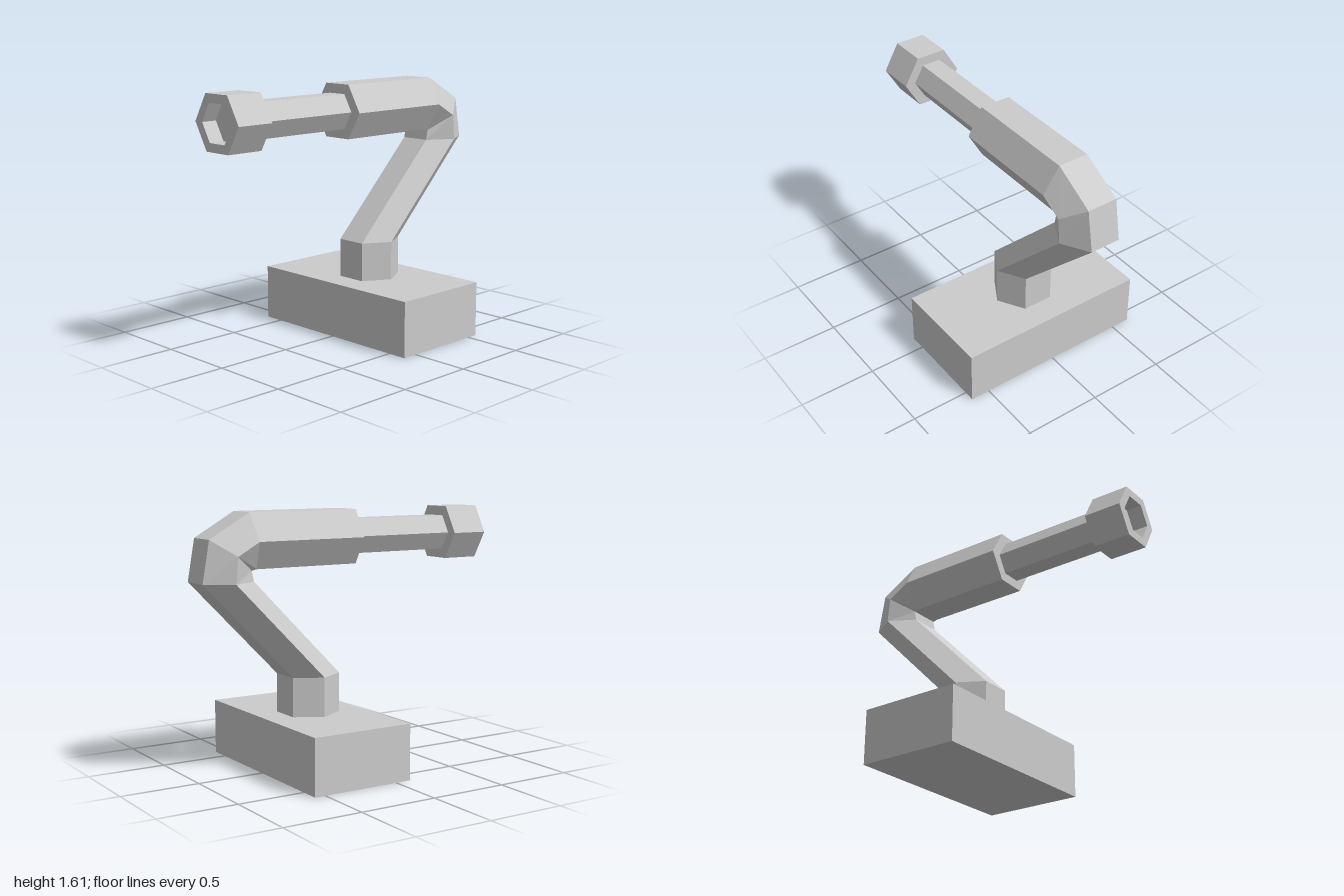
import * as THREE from 'three';

const material = new THREE.MeshStandardMaterial({ color: 0xcccccc, flatShading: true });

// Hexagonal ring mirrored in x, from its outer, middle and inner [z, y] points
function ring(outer, mid, inner, w = 0.195) {
  const at = (x, [z, y]) => [x, y, z];
  return [at(w / 2, outer), at(w, mid), at(w / 2, inner),
    at(-w / 2, inner), at(-w, mid), at(-w / 2, outer)];
}

// Level ring round the upright part, and upright ring round the forward axis
const levelRing = (y, z, h = 0.168) => ring([z - h, y], [z, y], [z + h, y]);
const axisRing = (z, h, w) => ring([z, 1.44 + h], [z, 1.44], [z, 1.44 - h], w);

// Skin over successive rings, optionally closing the last one
function loft(name, rings, capEnd = false) {
  const pos = [];
  const tri = (...p) => p.forEach(v => pos.push(...v));
  for (let i = 0; i < rings.length - 1; i++) {
    for (let j = 0; j < 6; j++) {
      const k = (j + 1) % 6;
      const a = rings[i][j], b = rings[i][k], c = rings[i + 1][k], d = rings[i + 1][j];
      tri(b, a, d);
      tri(b, d, c);
    }
  }
  if (capEnd) {
    const last = rings[rings.length - 1];
    for (let j = 1; j < 5; j++) tri(last[0], last[j + 1], last[j]);
  }
  const geo = new THREE.BufferGeometry();
  geo.setAttribute('position', new THREE.Float32BufferAttribute(pos, 3));
  geo.computeVertexNormals();
  const mesh = new THREE.Mesh(geo, material);
  mesh.name = name;
  return mesh;
}

export function createModel() {
  const model = new THREE.Group();
  model.name = 'jointedArm';

  // Base block
  const base = new THREE.Mesh(new THREE.BoxGeometry(1.25, 0.35, 0.67), material);
  base.name = 'base';
  base.position.set(0, 0.175, -0.235);
  model.add(base);

  // Shared rings where the parts meet
  const postTop = levelRing(0.595, -0.235);
  const elbowStart = levelRing(1.2, -0.832);
  const elbowMid = ring([-0.954, 1.457], [-0.817, 1.36], [-0.678, 1.265]);
  const elbowEnd = ring([-0.69, 1.608], [-0.675, 1.44], [-0.645, 1.272]);
  const shaftBack = axisRing(0.055, 0.108, 0.125);
  const shaftFront = axisRing(0.755, 0.108, 0.125);

  model.add(
    loft('post', [levelRing(0.35, -0.235), postTop]),
    loft('lowerArm', [postTop, elbowStart]),
    loft('elbow', [elbowStart, elbowMid, elbowEnd]),
    // Thick sleeve, stepping in to the shaft
    loft('upperArm', [elbowEnd, axisRing(0.055, 0.168, 0.195), shaftBack]),
    loft('shaft', [shaftBack, shaftFront]),
    // Head with a shallow socket in its front face
    loft('head', [
      shaftFront,
      axisRing(0.755, 0.168, 0.195),
      axisRing(1, 0.168, 0.195),
      axisRing(1, 0.115, 0.133),
      axisRing(0.9, 0.115, 0.133),
    ], true),
  );
  return model;
}
